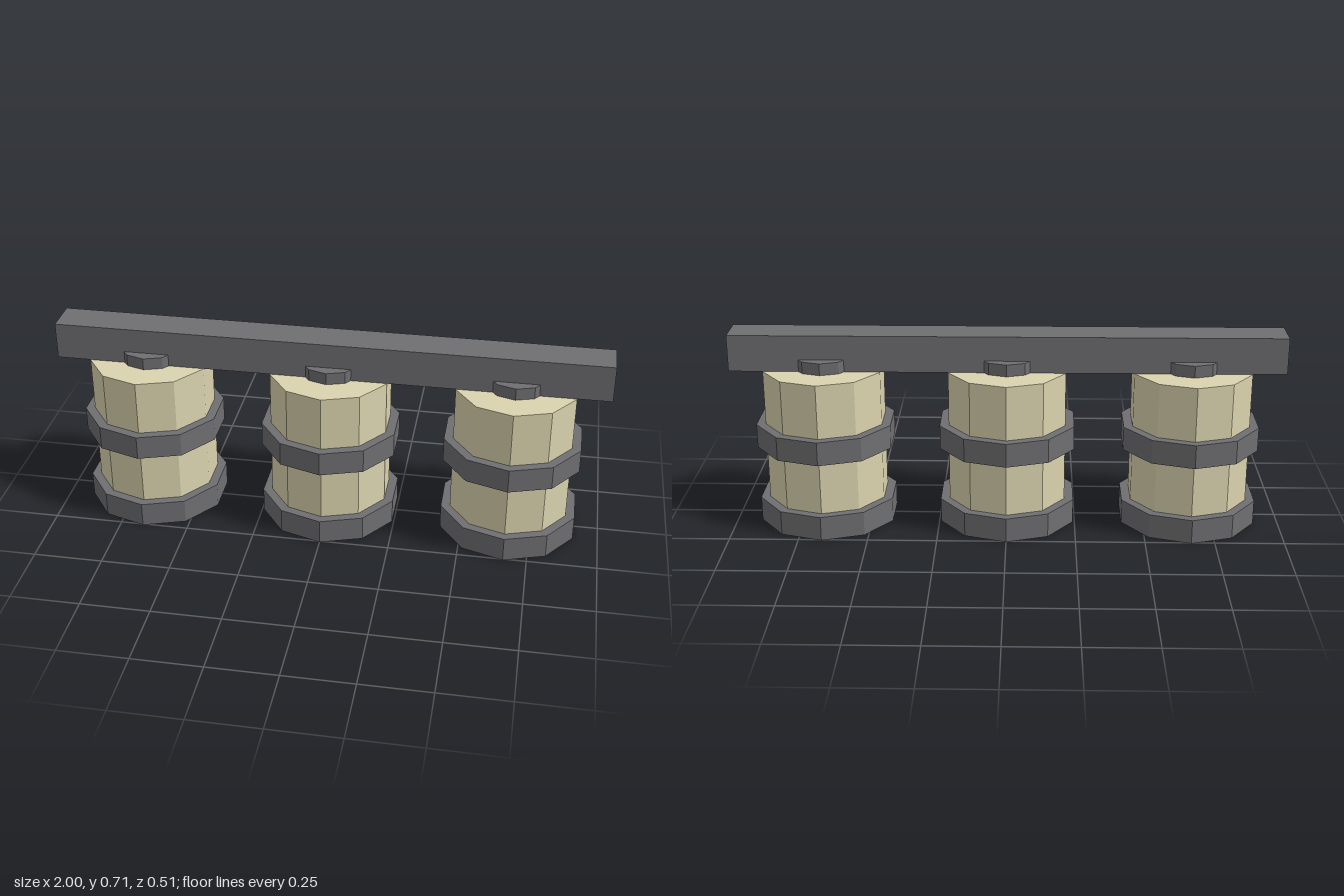
import * as THREE from 'three';

export function createModel() {
  const model = new THREE.Group();
  model.name = 'hangingBarrels';

  const cream = new THREE.MeshStandardMaterial({ color: 0xdbd4af, flatShading: true });
  cream.name = 'cream';
  const grey = new THREE.MeshStandardMaterial({ color: 0x6f6f72, flatShading: true });
  grey.name = 'darkGrey';

  // ten-sided drum between two heights
  const drum = (name, radius, y0, y1, material) => {
    const mesh = new THREE.Mesh(new THREE.CylinderGeometry(radius, radius, y1 - y0, 10), material);
    mesh.position.y = (y0 + y1) / 2;
    mesh.name = name;
    return mesh;
  };

  // three banded barrels
  for (const [name, x] of [['rightBarrel', -0.666], ['middleBarrel', 0], ['leftBarrel', 0.666]]) {
    const barrel = new THREE.Group();
    barrel.name = name;
    barrel.position.x = x;
    barrel.add(
      drum('base', 0.256, 0, 0.09, grey),
      drum('body', 0.222, 0.09, 0.578, cream),
      drum('middleBand', 0.256, 0.29, 0.378, grey),
      drum('topCap', 0.111, 0.578, 0.622, grey),
    );
    model.add(barrel);
  }

  // long beam across the tops
  const beam = new THREE.Mesh(new THREE.BoxGeometry(2, 0.134, 0.134), grey);
  beam.position.y = 0.645;
  beam.name = 'beam';
  model.add(beam);

  return model;
}
